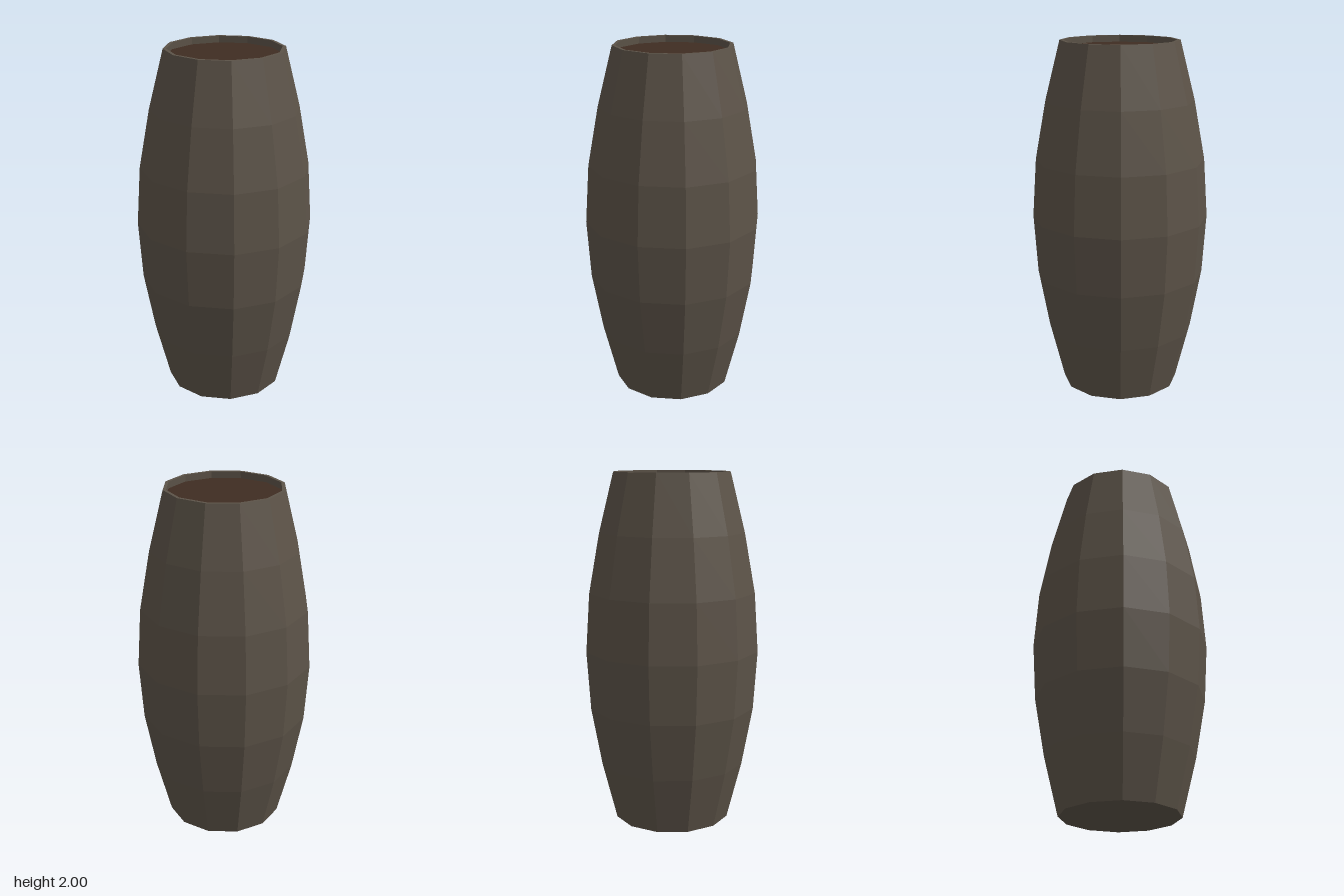
import * as THREE from 'three';

const SIDES = 12;

export function createModel() {
  const model = new THREE.Group();
  model.name = 'barrel';

  const wood = new THREE.MeshStandardMaterial({ color: 0x5c5348 });
  wood.name = 'weathered wood';
  wood.flatShading = true;
  const dark = new THREE.MeshStandardMaterial({ color: 0x3f2d22 });
  dark.name = 'dark brown filling';

  // Closed base, bulging staves, flat rim and short inner wall
  const profile = [
    [0, 0], [0.333, 0], [0.417, 0.333], [0.478, 0.667], [0.5, 1],
    [0.478, 1.333], [0.417, 1.667], [0.333, 2], [0.315, 2], [0.317, 1.96],
  ].map(([r, y]) => new THREE.Vector2(r, y));
  const shell = new THREE.Mesh(new THREE.LatheGeometry(profile, SIDES), wood);
  shell.name = 'shell';
  model.add(shell);

  // Sunken surface just below the rim
  const filling = new THREE.Mesh(new THREE.CircleGeometry(0.317, SIDES), dark);
  filling.name = 'filling';
  filling.rotation.x = -Math.PI / 2;
  filling.position.y = 1.962;
  model.add(filling);

  return model;
}
